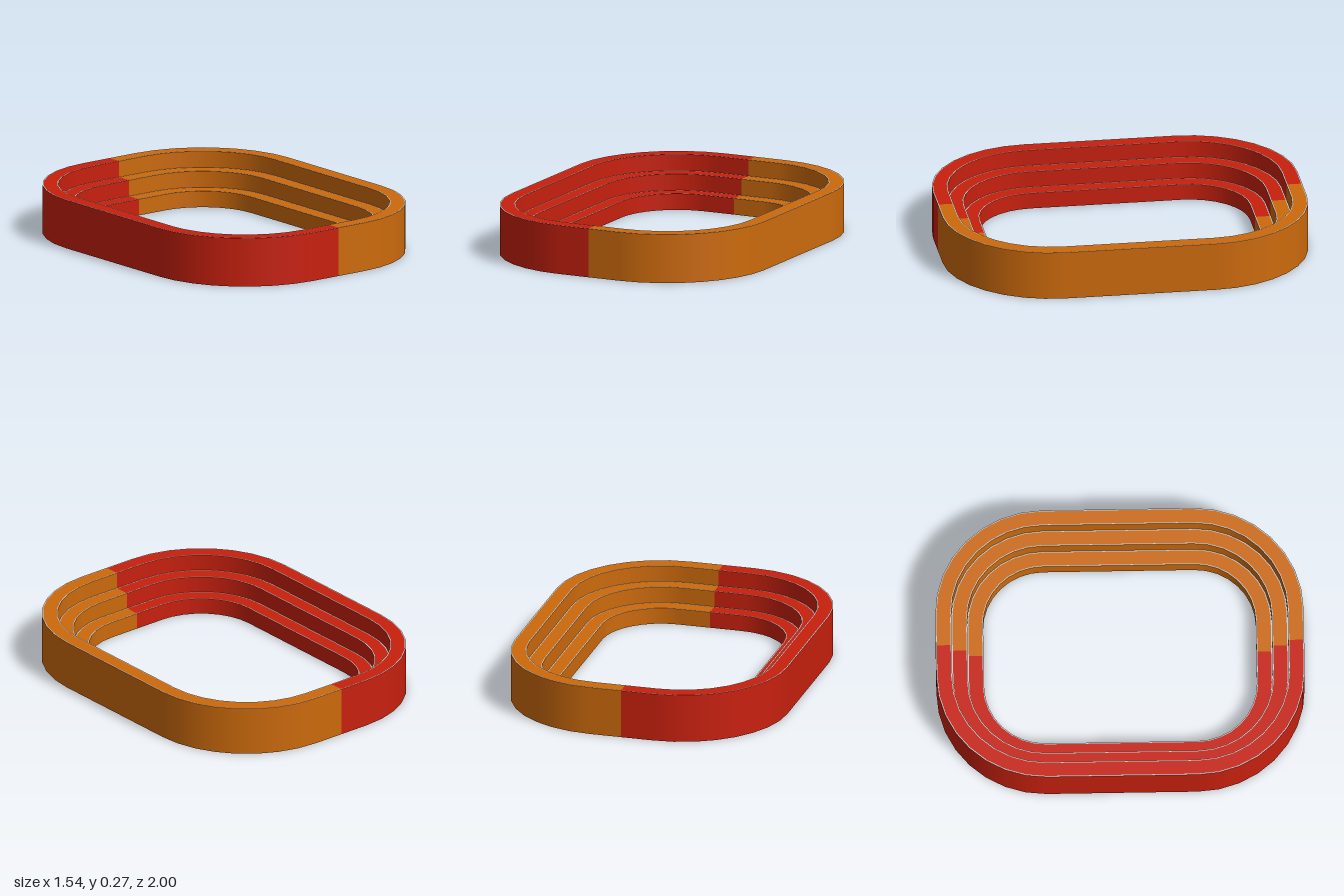
import * as THREE from 'three';
import { mergeGeometries } from 'three/addons/utils/BufferGeometryUtils.js';

const CX = 0.18, CZ = 0.41;      // corner centres of the rounded oblong
const SEGMENTS = 8;              // facets per rounded corner
const OUTER = 0.59;              // outer corner radius
const WIDTH = 0.0865, STEP = 0.09, RIM = 0.006;

// Half of the oblong (x >= 0): base point and outward direction per station.
function halfPath() {
  const path = [{ x: 0, z: -CZ, nx: 0, nz: -1 }];
  for (const side of [-1, 1]) {
    for (let i = 0; i <= SEGMENTS; i++) {
      const a = (i / SEGMENTS + (side < 0 ? -1 : 0)) * Math.PI / 2;
      path.push({ x: CX, z: side * CZ, nx: Math.cos(a), nz: Math.sin(a) });
    }
  }
  path.push({ x: 0, z: CZ, nx: 0, nz: 1 });
  return path;
}

// Sweeps one straight edge of the cross-section, (r0, y0) to (r1, y1), along the path.
function strip(path, [r0, y0, r1, y1]) {
  const len = Math.hypot(r1 - r0, y1 - y0);
  const nr = (y1 - y0) / len, ny = (r0 - r1) / len;
  const pos = [], nor = [], idx = [];
  path.forEach((p, i) => {
    for (const [r, y] of [[r0, y0], [r1, y1]]) {
      pos.push(p.x + p.nx * r, y, p.z + p.nz * r);
      nor.push(p.nx * nr, ny, p.nz * nr);
    }
    if (i > 0) {
      const a = 2 * (i - 1);
      idx.push(a, a + 1, a + 2, a + 1, a + 3, a + 2);
    }
  });
  const g = new THREE.BufferGeometry();
  g.setAttribute('position', new THREE.Float32BufferAttribute(pos, 3));
  g.setAttribute('normal', new THREE.Float32BufferAttribute(nor, 3));
  g.setIndex(idx);
  return g;
}

export function createModel() {
  const model = new THREE.Group();
  model.name = 'steppedRing';
  const path = halfPath();
  const grey = new THREE.MeshStandardMaterial({ color: 0xcccccc });
  const halves = [
    { name: 'orangeHalf', color: 0xcc6a0c, turn: 0 },
    { name: 'redHalf', color: 0xc8200e, turn: Math.PI },
  ];

  for (const { name, color, turn } of halves) {
    const half = new THREE.Group();
    half.name = name;
    half.rotation.y = turn;
    const paint = new THREE.MeshStandardMaterial({ color });

    // Three tiers, tallest outside, stepping down towards the opening
    for (let t = 0; t < 3; t++) {
      const ro = OUTER - t * WIDTH, ri = ro - WIDTH;
      const top = STEP * (3 - t), floor = top - STEP;
      const body = [
        [ro - RIM, top, ri + RIM, top],   // tread
        [ri, top, ri, floor],             // riser facing the opening
        [ri + RIM, 0, ro - RIM, 0],       // underside
      ];
      if (t === 0) body.push([ro, 0, ro, top]);   // outer wall

      // Narrow grey borders along both edges of the tread and the underside
      const rims = [
        [ro, top, ro - RIM, top], [ri + RIM, top, ri, top],
        [ri, 0, ri + RIM, 0], [ro - RIM, 0, ro, 0],
      ];
      for (const [part, edges, material] of [['tier', body, paint], ['tierBorder', rims, grey]]) {
        const mesh = new THREE.Mesh(mergeGeometries(edges.map((e) => strip(path, e))), material);
        mesh.name = part + (t + 1);
        half.add(mesh);
      }
    }
    model.add(half);
  }
  return model;
}
